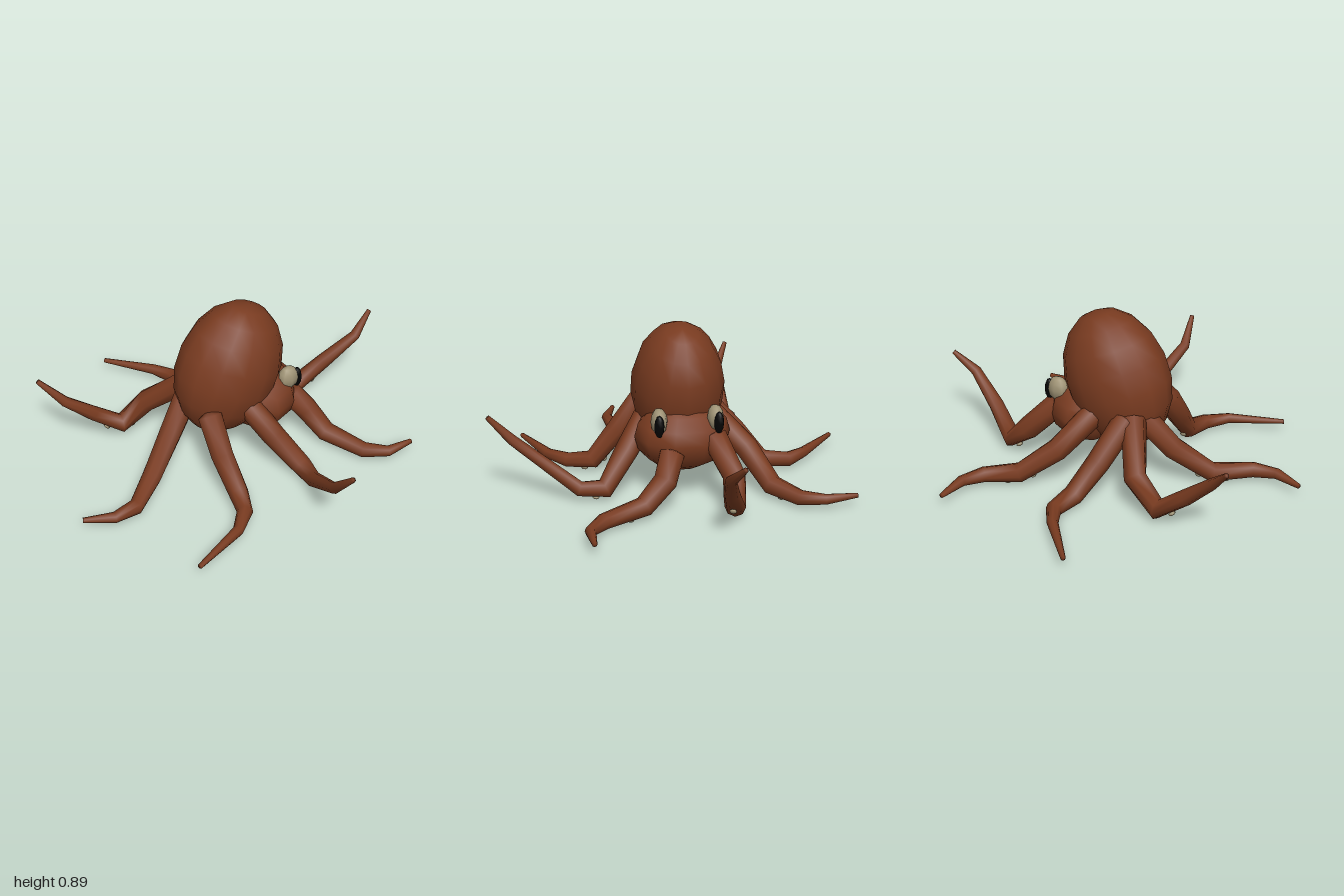
import * as THREE from 'three';

const skin = new THREE.MeshStandardMaterial({ color: 0x793b20 });
skin.name = 'rust brown skin';
const cream = new THREE.MeshStandardMaterial({ color: 0x9f9375 });
cream.name = 'cream';
const black = new THREE.MeshStandardMaterial({ color: 0x040404 });
black.name = 'black';

const SIDES = 8;
const RADII = [0.067, 0.062, 0.054, 0.042, 0.029, 0.013];

// Joints of each arm, from root to tip
const ARMS = {
  rightFrontArm: [[0.32, 0.29, 0.07], [0.4, 0.18, 0.12], [0.455, 0.075, 0.24], [0.555, 0.06, 0.46], [0.66, 0.065, 0.54], [0.81, 0.07, 0.54]],
  rightSecondArm: [[0, 0.4, 0.14], [0.09, 0.23, 0.27], [0.19, 0.07, 0.4], [0.18, 0.075, 0.53], [0.065, 0.33, 0.86], [0.085, 0.47, 0.98]],
  rightThirdArm: [[-0.22, 0.4, 0.14], [-0.225, 0.23, 0.27], [-0.21, 0.07, 0.41], [-0.25, 0.06, 0.54], [-0.35, 0.065, 0.64], [-0.64, 0.07, 0.76]],
  rightRearArm: [[-0.22, 0.39, -0.1], [-0.36, 0.22, -0.04], [-0.54, 0.07, 0.07], [-0.71, 0.06, 0.22], [-0.84, 0.065, 0.24], [-0.99, 0.07, 0.18]],
  leftFrontArm: [[0.28, 0.35, -0.16], [0.43, 0.19, -0.23], [0.56, 0.08, -0.205], [0.7, 0.22, -0.15], [0.87, 0.365, -0.1], [0.99, 0.47, -0.14]],
  leftSecondArm: [[0.02, 0.39, -0.2], [0.14, 0.22, -0.37], [0.32, 0.07, -0.465], [0.48, 0.06, -0.57], [0.535, 0.065, -0.69], [0.53, 0.07, -0.86]],
  leftThirdArm: [[-0.17, 0.4, -0.2], [-0.11, 0.22, -0.37], [-0.04, 0.07, -0.5], [-0.02, 0.06, -0.65], [-0.09, 0.065, -0.76], [-0.3, 0.07, -0.98]],
  leftRearArm: [[-0.2, 0.4, -0.17], [-0.33, 0.2, -0.37], [-0.48, 0.08, -0.4], [-0.64, 0.21, -0.41], [-0.79, 0.345, -0.42], [-0.9, 0.47, -0.5]],
};

// Tapered tube with a ring of vertices at every joint and closed ends
function armGeometry(points) {
  const pos = [], index = [], up = new THREE.Vector3(0, 1, 0), last = points.length - 1;
  points.forEach((p, i) => {
    const ahead = points[Math.min(i + 1, last)].clone().sub(p).normalize();
    const behind = p.clone().sub(points[Math.max(i - 1, 0)]).normalize();
    const t = ahead.add(behind).normalize();
    const s = up.clone().cross(t).normalize();
    const n = t.clone().cross(s);
    for (let k = 0; k < SIDES; k++) {
      const a = (k / SIDES) * Math.PI * 2;
      const v = p.clone().addScaledVector(s, Math.cos(a) * RADII[i]).addScaledVector(n, Math.sin(a) * RADII[i]);
      pos.push(v.x, v.y, v.z);
    }
  });
  const root = pos.length / 3, tip = root + 1;
  const cap = points[0].clone().sub(points[1]).setLength(0.03).add(points[0]);
  pos.push(...cap.toArray(), ...points[last].toArray());
  for (let k = 0; k < SIDES; k++) {
    const m = (k + 1) % SIDES;
    for (let i = 0; i < last; i++) {
      const a = i * SIDES, b = a + SIDES;
      index.push(a + k, a + m, b + k, a + m, b + m, b + k);
    }
    index.push(root, m, k, tip, last * SIDES + k, last * SIDES + m);
  }
  const g = new THREE.BufferGeometry();
  g.setAttribute('position', new THREE.Float32BufferAttribute(pos, 3));
  g.setIndex(index);
  g.computeVertexNormals();
  return g;
}

function ellipsoid(name, material, center, radii, w, h) {
  const m = new THREE.Mesh(new THREE.SphereGeometry(1, w, h), material);
  m.name = name;
  m.position.set(...center);
  m.scale.set(...radii);
  return m;
}

// Flat sucker on the underside of an arm, f joints along it
function sucker(points, f) {
  const i = Math.floor(f), u = f - i;
  const dir = points[i + 1].clone().sub(points[i]).normalize();
  const down = new THREE.Vector3(0, -1, 0).projectOnPlane(dir).normalize();
  const p = points[i].clone().lerp(points[i + 1], u);
  p.addScaledVector(down, THREE.MathUtils.lerp(RADII[i], RADII[i + 1], u) * 0.95);
  const m = ellipsoid('sucker', cream, p.toArray(), [0.019, 0.011, 0.019], 8, 6);
  m.quaternion.setFromUnitVectors(new THREE.Vector3(0, -1, 0), down);
  return m;
}

export function createModel() {
  const model = new THREE.Group();
  model.name = 'octopus';

  // Tall mantle leaning over the head
  const mantle = ellipsoid('mantle', skin, [-0.013, 0.535, -0.024], [0.292, 0.378, 0.247], 14, 9);
  mantle.rotation.z = -0.36;
  model.add(mantle);

  // Broad head with a flat face turned forward
  const head = ellipsoid('head', skin, [0.145, 0.33, -0.02], [0.217, 0.187, 0.255], 10, 8);
  head.geometry.rotateY(Math.PI / 10);
  model.add(head);

  // Bulging eyes with tall pupils
  for (const [side, d] of [['right', 1], ['left', -1]]) {
    const z = -0.02 + d * 0.147;
    const eye = new THREE.Group();
    eye.name = side + 'Eye';
    eye.add(
      ellipsoid('eyeball', cream, [0.267, 0.452, z], [0.062, 0.07, 0.044], 8, 6),
      ellipsoid('pupil', black, [0.318, 0.442, z + d * 0.008], [0.026, 0.06, 0.026], 8, 6),
    );
    model.add(eye);
  }

  // Arms with suckers underneath
  for (const [name, joints] of Object.entries(ARMS)) {
    const points = joints.map((j) => new THREE.Vector3(...j));
    const arm = new THREE.Group();
    arm.name = name;
    const limb = new THREE.Mesh(armGeometry(points), skin);
    limb.name = 'limb';
    arm.add(limb, ...[1.8, 2.35].map((f) => sucker(points, f)));
    model.add(arm);
  }
  return model;
}
